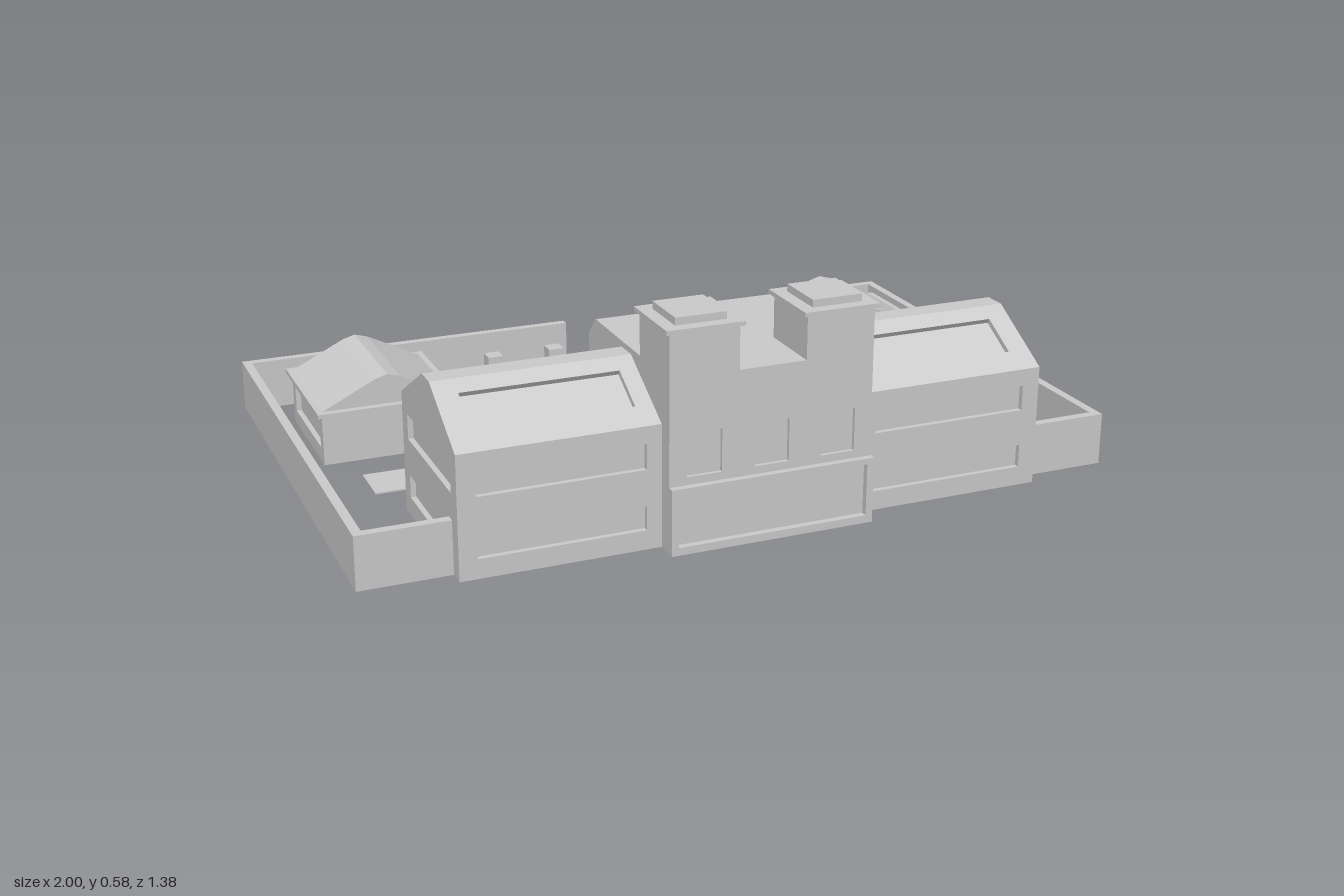
import * as THREE from 'three';

const grey = new THREE.MeshStandardMaterial({ color: 0xcccccc, flatShading: true });
const D = 0.014; // depth of the window recesses

function add(parent, name, geometry, x = 0, y = 0, z = 0) {
  const mesh = new THREE.Mesh(geometry, grey);
  mesh.name = name;
  mesh.position.set(x, y, z);
  parent.add(mesh);
  return mesh;
}

// Box given by its limits on each axis
function box(parent, name, x0, x1, y0, y1, z0, z1) {
  return add(parent, name, new THREE.BoxGeometry(x1 - x0, y1 - y0, z1 - z0),
    (x0 + x1) / 2, (y0 + y1) / 2, (z0 + z1) / 2);
}

const outline = (pts) => new THREE.Shape(pts.map(([x, y]) => new THREE.Vector2(x, y)));
const rect = (x0, x1, y0, y1) => [[x0, y0], [x1, y0], [x1, y1], [x0, y1]];

// Plate facing +z with its outer face on z = 0, pierced by rectangular openings
function plate(pts, openings, depth = D) {
  const shape = outline(pts);
  for (const o of openings) shape.holes.push(new THREE.Path(outline(rect(...o)).getPoints().reverse()));
  return new THREE.ExtrudeGeometry(shape, { depth, bevelEnabled: false }).translate(0, 0, -depth);
}

// Solid with a (z, y) profile running from x0 to x1
function prism(pts, x0, x1) {
  return new THREE.ExtrudeGeometry(outline(pts.map(([z, y]) => [-z, y])), { depth: x1 - x0, bevelEnabled: false })
    .rotateY(Math.PI / 2).translate(x0, 0, 0);
}

const mirrored = (half) => [...half, ...half.map(([a, b]) => [-a, b]).reverse()];

// Wing on the +x side, symmetrical front to back; turned round for the other side
function makeWing() {
  const wing = new THREE.Group();
  const x0 = 0.26, x1 = 0.768, eave = 0.315, half = 0.225, top = 0.425, flat = 0.03;
  const rows = [[0.05, 0.11], [0.205, 0.27]];
  const slope = Math.hypot(half - flat, top - eave);
  const angle = Math.atan2(half - flat, top - eave);
  const drop = D / Math.sin(angle);

  add(wing, 'wingCore', prism(mirrored([[half - D, 0], [half - D, eave - drop + 0.007],
    [flat, top - drop], [flat, top]]), 0.2, x1 - D));
  for (const side of [0, Math.PI]) {
    const face = new THREE.Group();
    face.name = side ? 'wingBack' : 'wingFront';
    face.rotation.y = side;
    const s = side ? -1 : 1;
    const [a, b] = s > 0 ? [x0, x1] : [-x1, -x0];
    const span = (p, q) => (s > 0 ? [p, q] : [-q, -p]);
    add(face, 'wingWall', plate(rect(a, b, 0, eave),
      rows.map((r) => [...span(0.303, 0.722), ...r])), 0, 0, half);
    const roof = add(face, 'wingRoofSlope', plate(rect(a, b, 0, slope),
      [[...span(0.31, 0.71), 0.063, 0.178]]), 0, eave, half);
    roof.rotation.x = -angle;
    wing.add(face);
  }
  const end = add(wing, 'wingEndWall', plate(mirrored([[half, 0], [half, eave], [flat, top]]),
    rows.map((r) => [-0.18, 0.18, ...r])), x1, 0, 0);
  end.rotation.y = Math.PI / 2;
  wing.position.z = 0.4;
  return wing;
}

function makeCentre() {
  const centre = new THREE.Group();
  centre.name = 'centreBlock';
  const w = 0.265;
  add(centre, 'centreCore', prism([[0.66, 0], [0.66, 0.44], [0.19, 0.44], [0.14, 0.39],
    [0.14 + D, 0.385], [0.14 + D, 0]], -w, w));
  // Windowed walls
  const cols = [-0.175, 0, 0.175];
  const windows = (rows, r) => rows.flatMap(([lo, hi]) => cols.map((c) => [c - r, c + r, lo, hi]));
  const back = add(centre, 'centreBackWall', plate(rect(-w, w, 0, 0.39),
    windows([[0.04, 0.14], [0.21, 0.31]], 0.055)), 0, 0, 0.14);
  back.rotation.y = Math.PI;
  add(centre, 'centreFrontWall', plate(rect(-w, w, 0, 0.44),
    windows([[0.19, 0.3]], 0.045)), 0, 0, 0.67);
  add(centre, 'entranceSurround', plate(rect(-w, 0.268, 0, 0.17),
    [[-0.247, 0.25, 0.02, 0.155]], 0.018), 0, 0, 0.687);
  // Pair of towers with stepped caps
  for (const s of [-1, 1]) {
    const tower = new THREE.Group();
    tower.name = s < 0 ? 'rightTower' : 'leftTower';
    tower.position.set(s * 0.176, 0, 0.578);
    box(tower, 'towerShaft', -0.089, 0.089, 0.43, 0.55, -0.09, 0.092);
    box(tower, 'towerCap', -0.099, 0.099, 0.55, 0.561, -0.102, 0.1);
    box(tower, 'towerTop', -0.065, 0.065, 0.561, 0.58, -0.069, 0.069);
    centre.add(tower);
  }
  return centre;
}

// Small outbuilding with a shallow roof whose ridge runs along z
function makeShed() {
  const shed = new THREE.Group();
  box(shed, 'shedCore', -0.18 + D, 0.18 - D, 0, 0.14, -0.176, 0.176);
  for (const s of [-1, 1]) {
    const wall = add(shed, 'shedSideWall', plate(rect(-0.176, 0.176, 0, 0.14),
      [[-0.145, 0.145, 0.04, 0.11]]), s * 0.18, 0, 0);
    wall.rotation.y = s * Math.PI / 2;
  }
  box(shed, 'shedEaves', -0.194, 0.194, 0.138, 0.149, -0.195, 0.195);
  const roof = outline([[-0.178, 0.149], [0.178, 0.149], [0.035, 0.22], [0, 0.23], [-0.035, 0.22]]);
  add(shed, 'shedRoof', new THREE.ExtrudeGeometry(roof, { depth: 0.35, bevelEnabled: false }), 0, 0, -0.175);
  return shed;
}

export function createModel() {
  const model = new THREE.Group();
  model.name = 'walledBuilding';

  const left = makeWing();
  left.name = 'leftWing';
  const right = makeWing();
  right.name = 'rightWing';
  right.rotation.y = Math.PI;
  model.add(left, right, makeCentre());

  [[-0.711, 'rightShed'], [0.736, 'leftShed']].forEach(([x, name]) => {
    const shed = makeShed();
    shed.name = name;
    shed.position.set(x, 0, -0.36);
    model.add(shed);
  });

  // Perimeter wall, open behind the yard and broken by the building in front
  const H = 0.138, T = 0.024;
  for (const s of [-1, 1]) {
    const x = s * (1 - T / 2);
    box(model, 'sideWall', x - T / 2, x + T / 2, 0, H, -0.69, 0.582);
    box(model, 'frontWall', s < 0 ? -1 + T : 0.75, s < 0 ? -0.75 : 1 - T, 0, H, 0.582 - T, 0.582);
  }
  box(model, 'backWallRight', -1 + T, -0.04, 0, H, -0.69, -0.69 + T);
  box(model, 'backWallLeft', 0.23, 1 - T, 0, H, -0.69, -0.69 + T);

  // Path across the yard and its posts
  box(model, 'path', -0.817, 0.872, 0, 0.004, -0.073, 0.057);
  for (const [x, z] of [[-0.322, -0.493], [-0.14, -0.493], [0.04, -0.493], [-0.236, -0.36], [-0.044, -0.362]]) {
    box(model, 'post', x - 0.022, x + 0.022, 0, 0.132, z - 0.022, z + 0.022);
  }
  return model;
}
